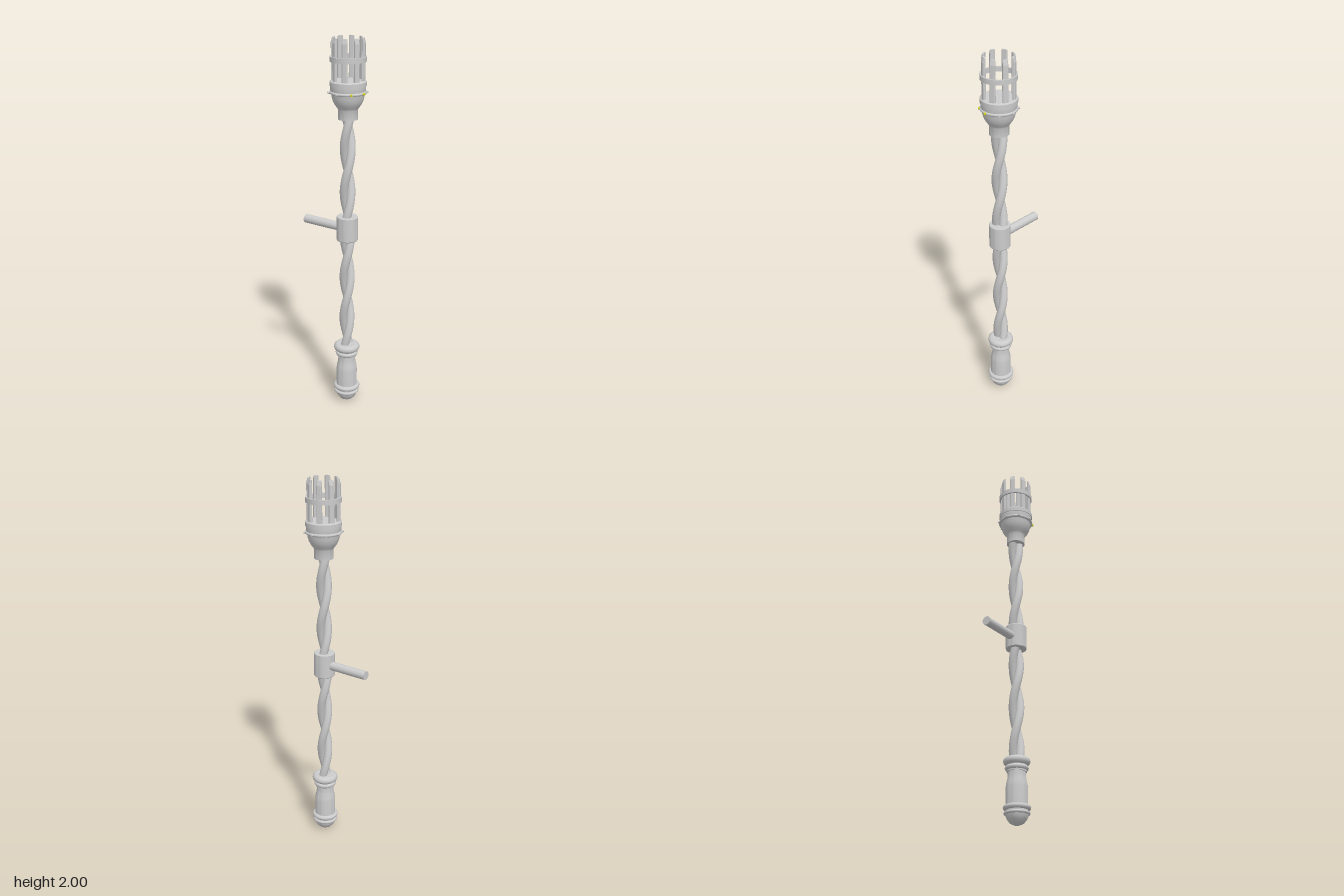
import * as THREE from 'three';
import { toCreasedNormals } from 'three/addons/utils/BufferGeometryUtils.js';

const AXIS_Z = 0.084;

export function createModel() {
  const model = new THREE.Group();
  const torch = new THREE.Group();
  torch.name = 'torch';
  torch.position.z = AXIS_Z;
  model.add(torch);

  const grey = new THREE.MeshStandardMaterial({ color: 0xcccccc });
  const yellow = new THREE.MeshStandardMaterial({ color: 0xd6d61a });

  const add = (name, geometry, parent = torch, material = grey) => {
    const mesh = new THREE.Mesh(geometry, material);
    mesh.name = name;
    parent.add(mesh);
    return mesh;
  };
  // Turned part from [radius, height] pairs, listed bottom to top
  const turned = (name, points) => add(name, toCreasedNormals(
    new THREE.LatheGeometry(points.map(([r, y]) => new THREE.Vector2(r, y)), 40), 0.6));
  const ring = (name, radius, y, thickness) => {
    const mesh = add(name, new THREE.TorusGeometry(radius - thickness, thickness, 12, 40));
    mesh.rotation.x = Math.PI / 2;
    mesh.position.y = y;
    return mesh;
  };

  // Handle: domed pommel, swelling grip and ring mouldings
  turned('pommel', [[0, 0], [0.018, 0.003], [0.035, 0.012], [0.048, 0.026],
    [0.056, 0.042], [0.06, 0.058], [0, 0.058]]);
  turned('grip', [[0.056, 0.05], [0.056, 0.19], [0.054, 0.21], [0.048, 0.235],
    [0.046, 0.255], [0.046, 0.3]]);
  ring('lowerPommelRing', 0.067, 0.06, 0.008);
  ring('upperPommelRing', 0.071, 0.088, 0.013);
  ring('lowerGripRing', 0.061, 0.29, 0.013);
  ring('upperGripRing', 0.07, 0.325, 0.021);
  turned('gripCap', [[0, 0.27], [0.052, 0.27], [0.052, 0.345], [0, 0.345]]);

  // Shaft: two strands twisted round each other
  const halfTurn = 0.235, bottom = 0.33, top = 1.62;
  for (let s = 0; s < 2; s++) {
    const path = [];
    for (let i = 0; i <= 80; i++) {
      const y = bottom + (top - bottom) * i / 80;
      const a = Math.PI / 2 + s * Math.PI - (y - 1.395) / halfTurn * Math.PI;
      path.push(new THREE.Vector3(0.0185 * Math.cos(a), y, 0.0185 * Math.sin(a)));
    }
    add('twistedStrand', new THREE.TubeGeometry(new THREE.CatmullRomCurve3(path), 160, 0.022, 14));
  }

  // Wall mount: clamp collar and rod to the back
  turned('clampCollar', [[0, 0.945], [0.053, 0.945], [0.056, 0.949], [0.056, 1.073],
    [0.053, 1.077], [0, 1.077]]);
  const rod = add('mountRod', new THREE.CylinderGeometry(0.0235, 0.0235, 0.232, 24));
  rod.rotation.x = Math.PI / 2;
  rod.position.set(0, 1.01, -0.188 - AXIS_Z + 0.116);

  // Cup: neck, bowl and banded rim
  turned('cup', [[0, 1.592], [0.05, 1.592], [0.05, 1.642], [0.056, 1.652], [0.067, 1.666],
    [0.076, 1.684], [0.082, 1.705], [0.084, 1.722], [0.089, 1.738], [0.089, 1.762],
    [0.093, 1.762], [0.093, 1.783], [0.087, 1.789], [0, 1.789]]);
  ring('cupRing', 0.095, 1.729, 0.008);

  // Studs round the cup, the front two coloured
  for (let i = 0; i < 8; i++) {
    const holder = new THREE.Group();
    holder.name = 'studHolder';
    holder.rotation.y = i * Math.PI / 4;
    torch.add(holder);
    const stud = add('stud', new THREE.CylinderGeometry(0.005, 0.007, 0.014, 10), holder,
      i === 0 || i === 7 ? yellow : grey);
    stud.rotation.x = Math.PI / 2;
    stud.position.set(0, 1.729, 0.095);
  }

  // Cage: eight upright bars with sloping tips
  const side = new THREE.Shape([[0.073, 1.77], [0.083, 1.77], [0.083, 1.975], [0.077, 1.997],
    [0.073, 1.997]].map(([r, y]) => new THREE.Vector2(r, y)));
  const bar = new THREE.ExtrudeGeometry(side, {
    depth: 0.019, bevelThickness: 0.004, bevelSize: 0.003, bevelSegments: 1,
  });
  bar.translate(0, 0, -0.0095);
  for (let i = 0; i < 8; i++) {
    add('cageBar', bar).rotation.y = (i + 0.5) * Math.PI / 4;
  }

  // Hoop holding the cage together
  turned('cageHoop', [[0.083, 1.882], [0.092, 1.882], [0.092, 1.908], [0.083, 1.908], [0.083, 1.882]]);

  return model;
}
